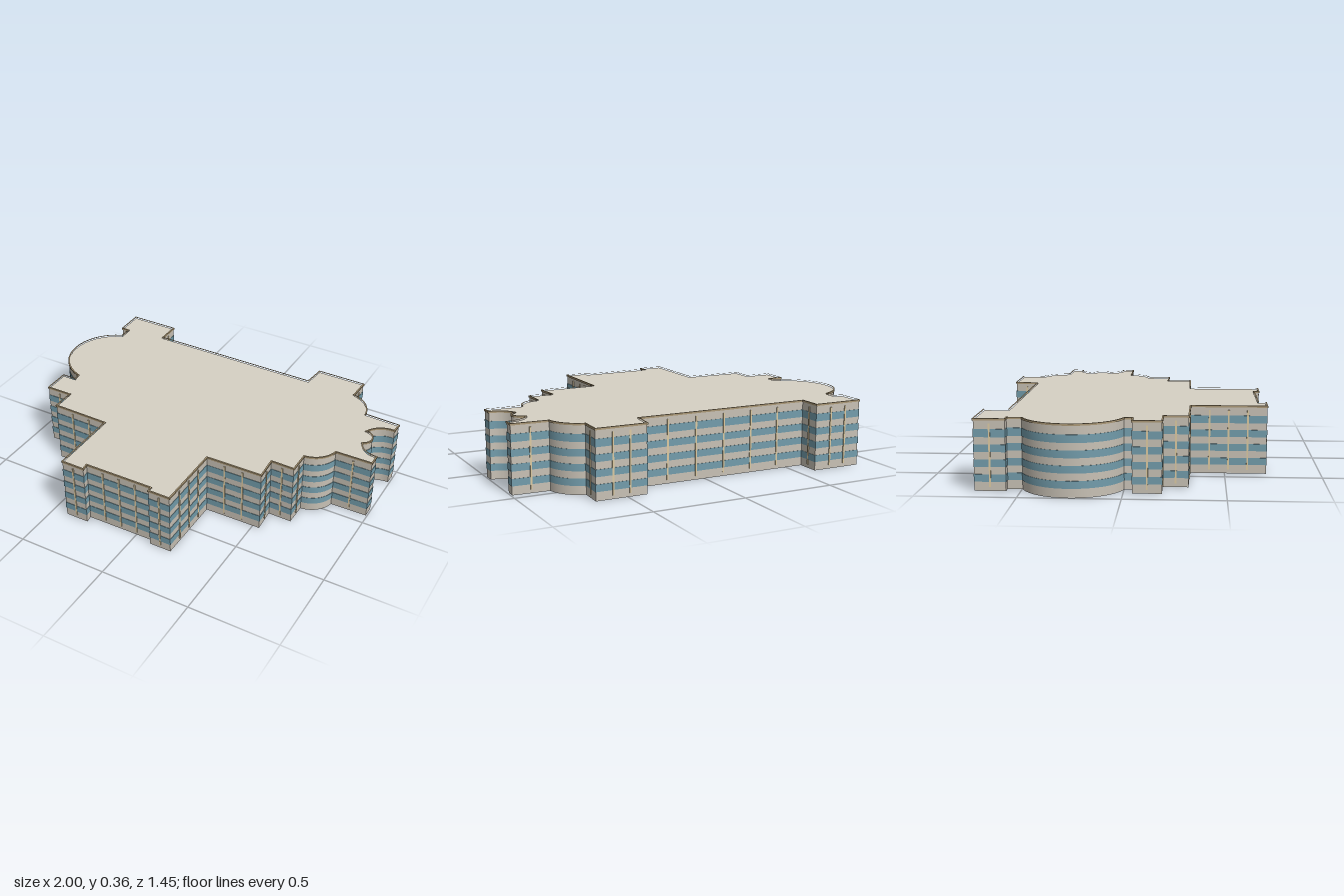
import * as THREE from 'three';
import { toCreasedNormals } from 'three/addons/utils/BufferGeometryUtils.js';

const material = (name, color) => {
  const m = new THREE.MeshStandardMaterial({ color });
  m.name = name;
  return m;
};

// Footprint as [x, z]; a four-number entry is an arc through [x, z] ending at [x, z]
const PLAN = [
  [-0.875, -0.727], [-0.6, -0.727], [-0.6, -0.6], [0.38, -0.6], [0.395, -0.727], [0.67, -0.727],
  [0.665, -0.6], [0.755, -0.545, 0.795, -0.455], [0.993, -0.448], [0.99, -0.39],
  [0.91, -0.37, 0.86, -0.31], [0.915, -0.255, 0.88, -0.2], [0.92, -0.145, 0.993, -0.125],
  [0.993, -0.063], [0.79, -0.06], [0.75, 0.015, 0.66, 0.055], [0.66, 0.18], [0.53, 0.178],
  [0.538, 0.31], [0.222, 0.315], [0.222, 0.7], [0.1, 0.7], [0.1, 0.673], [-0.29, 0.678],
  [-0.285, 0.717], [-0.415, 0.717], [-0.415, 0.32], [-0.74, 0.315], [-0.74, 0.188],
  [-0.885, 0.188], [-0.885, 0.043], [-0.805, 0.043], [-0.81, 0],
  [-0.997, -0.246, -0.83, -0.497], [-0.83, -0.572], [-0.875, -0.572],
];

// Points on the circle through a, b and c, leaving out a
function arcPoints(a, b, c, steps = 16) {
  const d = 2 * (a.x * (b.y - c.y) + b.x * (c.y - a.y) + c.x * (a.y - b.y));
  const [A, B, C] = [a, b, c].map((p) => p.lengthSq());
  const centre = new THREE.Vector2(
    (A * (b.y - c.y) + B * (c.y - a.y) + C * (a.y - b.y)) / d,
    (A * (c.x - b.x) + B * (a.x - c.x) + C * (b.x - a.x)) / d);
  const angle = (p) => Math.atan2(p.y - centre.y, p.x - centre.x);
  const turn = (t) => (t + 4 * Math.PI) % (2 * Math.PI);
  const start = angle(a);
  let sweep = turn(angle(c) - start);
  if (turn(angle(b) - start) > sweep) sweep -= 2 * Math.PI;
  const r = a.distanceTo(centre);
  return Array.from({ length: steps }, (_, i) => {
    const t = start + sweep * (i + 1) / steps;
    return new THREE.Vector2(centre.x + r * Math.cos(t), centre.y + r * Math.sin(t));
  });
}

function buildOutline() {
  const points = [], straights = [];
  let last = new THREE.Vector2(...PLAN[PLAN.length - 1]);
  for (const p of PLAN) {
    const end = new THREE.Vector2(...p.slice(-2));
    if (p.length === 4) {
      points.push(...arcPoints(last, new THREE.Vector2(p[0], p[1]), end));
    } else {
      straights.push([last, end]);
      points.push(end);
    }
    last = end;
  }
  return { points, straights };
}

// Mitred offset of the closed outline; positive is outward
function offset(points, amount) {
  const n = points.length;
  const normal = (a, b) => new THREE.Vector2(b.y - a.y, a.x - b.x).normalize();
  return points.map((p, i) => {
    const n1 = normal(points[(i + n - 1) % n], p);
    const n2 = normal(p, points[(i + 1) % n]);
    const scale = amount / Math.max(0.35, 1 + n1.dot(n2));
    return p.clone().addScaledVector(n1.add(n2), scale);
  });
}

const flip = (points) => points.map((p) => new THREE.Vector2(p.x, -p.y));

function slab(name, points, y0, y1, mat, hole) {
  const shape = new THREE.Shape(flip(points));
  if (hole) shape.holes.push(new THREE.Path(flip(hole)));
  const geometry = new THREE.ExtrudeGeometry(shape, { depth: y1 - y0, bevelEnabled: false });
  geometry.rotateX(-Math.PI / 2).translate(0, y0, 0);
  const mesh = new THREE.Mesh(toCreasedNormals(geometry, 0.5), mat);
  mesh.name = name;
  return mesh;
}

export function createModel() {
  const stone = material('pale stone', 0xc8c1b5);
  const glass = material('blue glass', 0x729cab);
  const roofing = material('roof grey', 0xd7d1c4);
  const base = material('base grey', 0xd2d2cf);
  const trim = material('brown trim', 0xab9876);
  const frame = material('tan frame', 0xdccaa2);

  const building = new THREE.Group();
  building.name = 'building';
  const { points, straights } = buildOutline();

  // Stone walls on a thin base plate
  building.add(slab('basePlate', points, 0, 0.003, base));
  building.add(slab('walls', points, 0.003, 0.35, stone));

  // Four window rows, standing slightly proud of the stone
  const pane = offset(points, 0.002);
  const rows = [[0.046, 0.083], [0.12, 0.157], [0.194, 0.231], [0.267, 0.307]];
  rows.forEach(([y0, y1], i) => building.add(slab(`windowRow${i + 1}`, pane, y0, y1, glass)));

  // Roof deck and raised rim
  building.add(slab('roof', offset(points, -0.004), 0.345, 0.354, roofing));
  building.add(slab('roofRim', offset(points, 0.004), 0.35, 0.36, trim, offset(points, -0.004)));

  // Vertical mullions spaced evenly along each straight wall
  const mullions = new THREE.Group();
  mullions.name = 'mullions';
  const bar = new THREE.BoxGeometry(0.009, 0.315, 0.009);
  for (const [a, b] of straights) {
    const length = a.distanceTo(b);
    if (length < 0.11) continue;
    const count = THREE.MathUtils.clamp(Math.round(length / 0.1), 2, 6);
    for (let i = 1; i < count; i++) {
      const p = a.clone().lerp(b, i / count);
      const mullion = new THREE.Mesh(bar, frame);
      mullion.name = 'mullion';
      mullion.position.set(p.x, 0.1775, p.y);
      mullion.rotation.y = -Math.atan2(b.y - a.y, b.x - a.x);
      mullions.add(mullion);
    }
  }
  building.add(mullions);
  return building;
}
